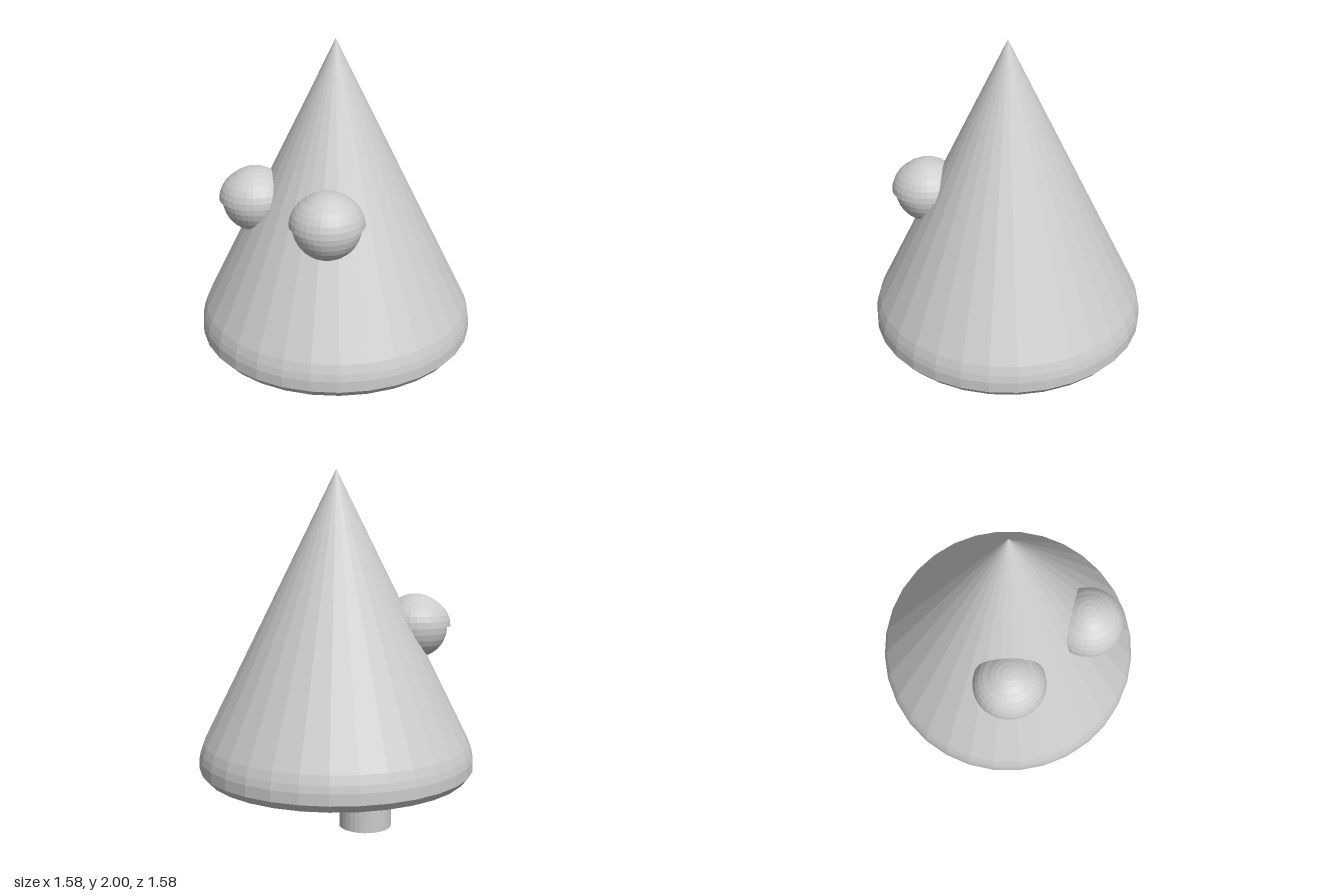
import * as THREE from 'three';

const material = new THREE.MeshStandardMaterial({ color: 0xcccccc, flatShading: true });

// Solid of revolution from [radius, height] pairs, listed bottom to top
function turned(name, profile, segments = 32) {
  const points = profile.map(([r, y]) => new THREE.Vector2(r, y));
  const mesh = new THREE.Mesh(new THREE.LatheGeometry(points, segments), material);
  mesh.name = name;
  return mesh;
}

function createEye(side) {
  const eye = new THREE.Group();
  eye.name = side > 0 ? 'leftEye' : 'rightEye';

  const ball = new THREE.Mesh(new THREE.SphereGeometry(0.185, 32, 16), material);
  ball.name = 'eyeball';
  eye.add(ball);

  // Slightly flattened dome with a closed rim underneath
  const dome = [[0, 0]];
  for (let i = 0; i <= 8; i++) {
    const a = (i / 8) * Math.PI / 2;
    dome.push([i === 8 ? 0 : 0.202 * Math.cos(a), 0.172 * Math.sin(a)]);
  }
  const lid = turned('eyelid', dome);
  lid.position.y = 0.003;
  eye.add(lid);

  eye.position.set(side * 0.28, 1.115, 0.36);
  return eye;
}

export function createModel() {
  const model = new THREE.Group();
  model.name = 'coneCreature';

  // Cone body with a rounded lower rim and flat underside
  model.add(turned('body', [
    [0, 0.23], [0.645, 0.23], [0.755, 0.265], [0.79, 0.308],
    [0.79, 0.37], [0.782, 0.41], [0.765, 0.46], [0, 2],
  ]));

  for (const side of [-1, 1]) {
    const leg = new THREE.Mesh(new THREE.CylinderGeometry(0.147, 0.147, 0.25, 32), material);
    leg.name = side > 0 ? 'leftLeg' : 'rightLeg';
    leg.position.set(side * 0.243, 0.125, 0);
    model.add(leg, createEye(side));
  }
  return model;
}
